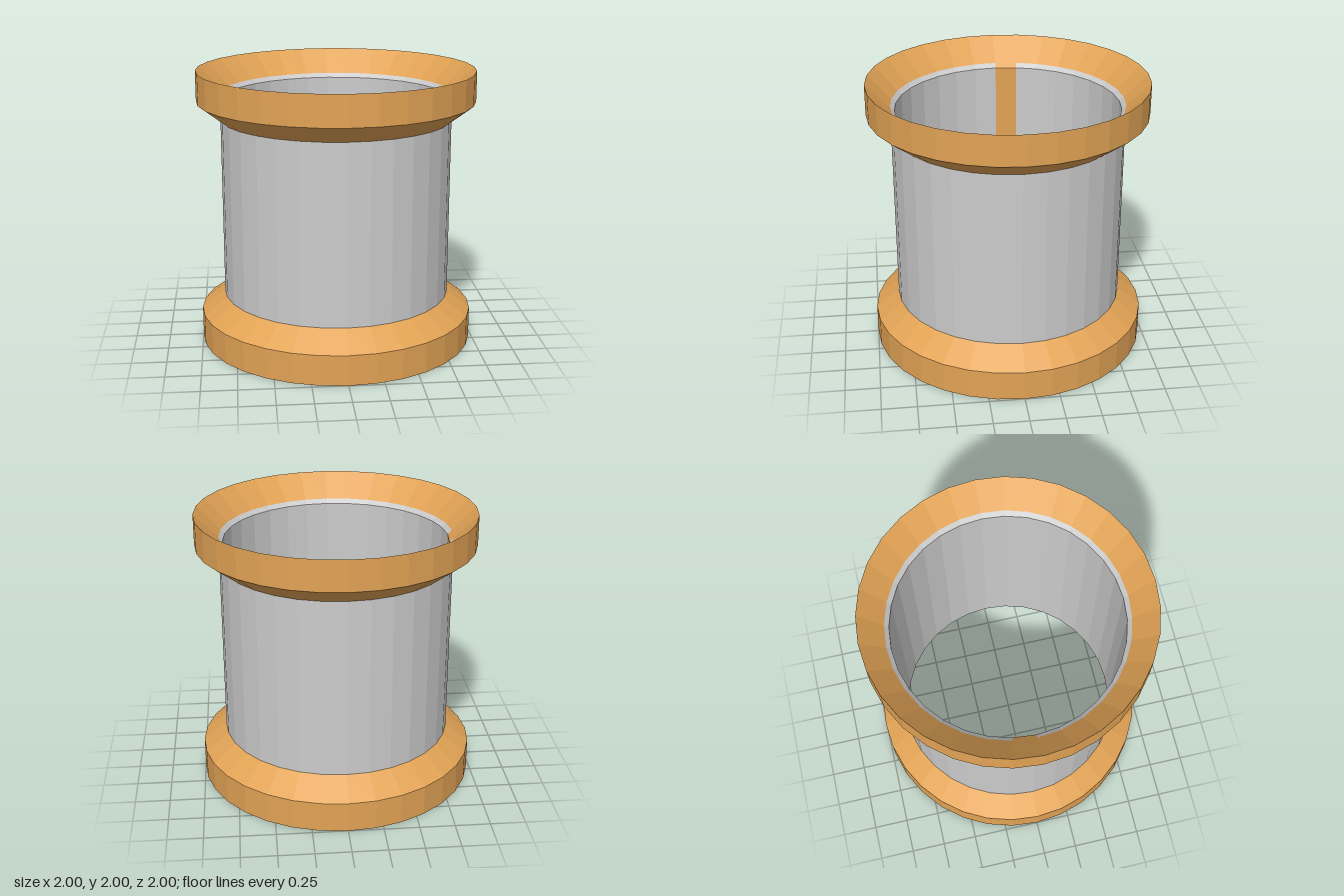
import * as THREE from 'three';

const SIDES = 32;
const STEP = (Math.PI * 2) / SIDES;
const grey = new THREE.MeshStandardMaterial({ color: 0xcccccc, flatShading: true });
const wood = new THREE.MeshStandardMaterial({ color: 0xe2a355, flatShading: true });

// Revolve a [radius, height] profile over a run of facets
function ring(name, profile, material, first = 0, count = SIDES) {
  const points = profile.map(([r, y]) => new THREE.Vector2(r, y));
  const mesh = new THREE.Mesh(
    new THREE.LatheGeometry(points, count, first * STEP, count * STEP), material);
  mesh.name = name;
  return mesh;
}

export function createModel() {
  const model = new THREE.Group();
  model.name = 'hollowSpool';

  // Flared rims: inner bevel, upright band, outer bevel
  const rim = [[0.83, 0.17], [1, 0], [1, 0.22], [0.83, 0.35]];
  const topRim = rim.map(([r, y]) => [r, 2 - y]).reverse();
  model.add(ring('bottomRim', rim, wood), ring('topRim', topRim, wood));

  // Outer wall of the barrel
  model.add(ring('barrel', [[0.83, 0.35], [0.83, 1.65]], grey));

  // Inner wall with beveled ends; one facet is a wooden strip
  const bore = [[0.83, 1.83], [0.8, 1.8], [0.8, 0.2], [0.83, 0.17]];
  model.add(ring('innerWall', bore, grey, 24, SIDES - 1));
  model.add(ring('innerStrip', bore, wood, 23, 1));

  return model;
}
